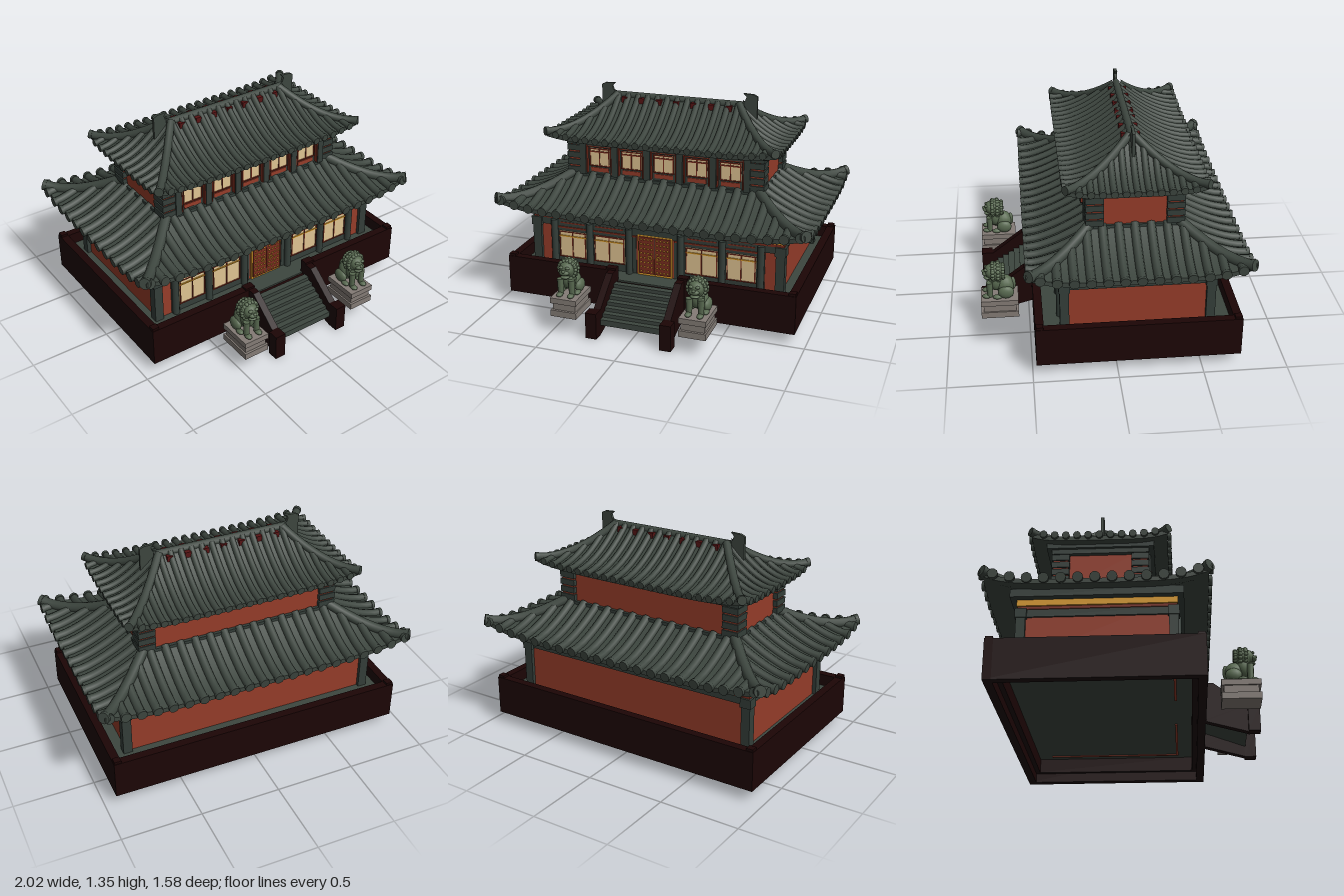
import * as THREE from 'three';
import { mergeGeometries, toCreasedNormals } from 'three/addons/utils/BufferGeometryUtils.js';

const mat = (name, color) => Object.assign(new THREE.MeshStandardMaterial({ color }), { name });
const M = {
  tile: mat('roof tile', 0x3d463f), timber: mat('dark timber', 0x343e39), maroon: mat('dark maroon', 0x1c0505),
  red: mat('wall red', 0x953c29), door: mat('door red', 0x7a2d1e), gold: mat('gold', 0xda9b2b),
  cream: mat('window cream', 0xdfc492), stone: mat('stone', 0x847c76), lion: mat('lion green', 0x586950),
  ornament: mat('ornament red', 0x561414),
};
const ZC = -0.127; // centre line of the building

function add(parent, name, geo, material) {
  const m = new THREE.Mesh(geo, material);
  m.name = name;
  parent.add(m);
  return m;
}
// box from min/max ranges
function box(parent, name, material, x0, x1, y0, y1, z0, z1) {
  const g = new THREE.BoxGeometry(x1 - x0, y1 - y0, z1 - z0);
  g.translate((x0 + x1) / 2, (y0 + y1) / 2, (z0 + z1) / 2);
  return add(parent, name, g, material);
}
// box centred on x = 0 and on the building centre line
const slab = (p, name, m, hx, y0, y1, hz) => box(p, name, m, -hx, hx, y0, y1, ZC - hz, ZC + hz);
// outline in (z, y), extruded along x
function sideProfile(points, x0, x1) {
  const s = new THREE.Shape(points.map(([z, y]) => new THREE.Vector2(z, y)));
  const g = new THREE.ExtrudeGeometry(s, { depth: x1 - x0, bevelEnabled: false });
  return g.rotateY(-Math.PI / 2).translate(x1, 0, 0);
}

// Hipped roof with concave slopes, lifted corners, tile rolls and hip ridges
function roof(name, o) {
  const g = new THREE.Group();
  g.name = name;
  const lerp = THREE.MathUtils.lerp;
  const point = (k, s, t, dy = 0) => {
    const hx = lerp(o.hx0, o.hx1, t), hz = lerp(o.hz0, o.hz1, t);
    const [along, out] = k % 2 ? [hz, hx] : [hx, hz];
    const tt = Math.min(t, 1);
    const y = o.top - (o.top - o.eave) * (1 - (1 - tt) ** o.curve) + o.lift * t ** 3 * Math.abs(s) ** 5 + dy;
    return new THREE.Vector3(s * along, y, out).applyAxisAngle(new THREE.Vector3(0, 1, 0), k * Math.PI / 2);
  };
  const rows = [0, .12, .25, .37, .5, .62, .75, .87, 1].map(t => [t, 0]);
  rows.push([1, -.028], [.8, -.03], [.4, -.045]);
  const skins = [], rolls = [];
  for (let k = 0; k < 4; k++) {
    const skin = new THREE.PlaneGeometry(1, 1, 24, rows.length - 1), p = skin.attributes.position;
    for (let i = 0; i < p.count; i++) {
      const [t, dy] = rows[Math.floor(i / 25)];
      p.setXYZ(i, ...point(k, p.getX(i) * 2, t, dy).toArray());
    }
    skins.push(skin);
    // half-round tile rolls running straight down each slope
    const [a0, a1] = k % 2 ? [o.hz0, o.hz1] : [o.hx0, o.hx1];
    const n = Math.floor((a1 - 0.02) / o.pitch);
    for (let i = -n; i <= n; i++) {
      const u = i * o.pitch, t0 = Math.max(0, (Math.abs(u) - a0) / (a1 - a0));
      if (t0 > 0.94) continue;
      const pts = [];
      for (let j = 0; j <= 6; j++) {
        const t = lerp(t0, 1.03, j / 6);
        pts.push(point(k, u / lerp(a0, a1, t), t, 0.002));
      }
      rolls.push(new THREE.TubeGeometry(new THREE.CatmullRomCurve3(pts), 8, o.r, 8));
      const dir = pts[6].clone().sub(pts[5]).normalize();
      const cap = new THREE.CylinderGeometry(o.r * 1.12, o.r * 1.12, 0.02, 10);
      cap.applyQuaternion(new THREE.Quaternion().setFromUnitVectors(new THREE.Vector3(0, 1, 0), dir));
      rolls.push(cap.translate(pts[6].x, pts[6].y, pts[6].z));
    }
    // hip ridge closed by a flat end tile
    const hip = [0, .2, .4, .6, .8, .92, 1].map(t => point(k, 1, t, 0.006));
    rolls.push(new THREE.TubeGeometry(new THREE.CatmullRomCurve3(hip), 14, o.hip, 10));
    const hipDir = hip[6].clone().sub(hip[5]).normalize();
    const end = new THREE.CylinderGeometry(o.hip * 1.1, o.hip * 1.1, 0.022, 12);
    end.applyQuaternion(new THREE.Quaternion().setFromUnitVectors(new THREE.Vector3(0, 1, 0), hipDir));
    rolls.push(end.translate(...hip[6].toArray()));
  }
  add(g, 'roofSkin', toCreasedNormals(mergeGeometries(skins), 0.7), M.tile);
  add(g, 'tileRolls', mergeGeometries(rolls), M.tile);
  return g;
}

// Lattice window on a wall facing +z
function latticeWindow(parent, x0, x1, y0, y1, z, barMat) {
  const g = new THREE.Group();
  g.name = 'window';
  parent.add(g);
  const w = x1 - x0, b = 0.006;
  box(g, 'pane', M.cream, x0, x1, y0, y1, z, z + 0.006);
  const bar = (m, ax, bx, ay, by) => box(g, 'latticeBar', m, ax, bx, ay, by, z, z + 0.012);
  for (const f of [0.03, 0.5, 0.97]) bar(M.door, x0 + w * f - b / 2, x0 + w * f + b / 2, y0, y1);
  const yb = y0 + (y1 - y0) * 0.82;
  bar(barMat, x0, x1, yb - 0.004, yb + 0.004);
  bar(M.door, x0, x1, y1 - b, y1);
  bar(M.door, x0, x1, y0, y0 + b);
}

function guardianLion() {
  const g = new THREE.Group();
  g.name = 'guardianLion';
  // plinth
  box(g, 'plinthFoot', M.stone, -.083, .083, -.12, -.08, -.115, .115);
  box(g, 'plinthBody', M.stone, -.073, .073, -.08, -.035, -.1, .1);
  box(g, 'plinthTop', M.stone, -.083, .083, -.035, 0, -.115, .115);
  const blob = (name, x, y, z, rx, ry, rz) =>
    add(g, name, new THREE.SphereGeometry(1, 14, 10).scale(rx, ry, rz).translate(x, y, z), M.lion);
  blob('rump', 0, .07, -.035, .052, .064, .058);
  blob('chest', 0, .1, .02, .047, .065, .045);
  blob('mane', 0, .165, .015, .06, .063, .056);
  blob('head', 0, .17, .045, .047, .045, .042);
  blob('muzzle', 0, .16, .08, .032, .017, .021);
  blob('jaw', 0, .128, .068, .028, .011, .024);
  blob('nose', 0, .172, .094, .012, .009, .009);
  blob('tail', 0, .075, -.085, .018, .045, .018);
  for (const s of [-1, 1]) {
    blob('haunch', s * .046, .04, -.04, .026, .042, .05);
    blob('hindPaw', s * .052, .013, .012, .019, .014, .03);
    blob('frontPaw', s * .036, .013, .077, .02, .014, .028);
    blob('brow', s * .02, .19, .076, .015, .009, .012);
    blob('ear', s * .047, .195, .035, .01, .014, .012);
    add(g, 'frontLeg', new THREE.CylinderGeometry(.021, .017, .1, 10).translate(s * .036, .06, .058), M.lion);
  }
  // mane curls around the face and down the back
  for (const [z, r] of [[.035, .054], [.003, .057], [-.026, .042]])
    for (let i = 0; i < 13; i++) {
      const a = -0.7 + i / 12 * (Math.PI + 1.4);
      blob('maneCurl', Math.cos(a) * r, .165 + Math.sin(a) * r, z, .012, .012, .013);
    }
  return g;
}

export function createModel() {
  const model = new THREE.Group();
  model.name = 'templeHall';
  const group = name => { const g = new THREE.Group(); g.name = name; model.add(g); return g; };

  // Terrace: hollow below, parapet all round with a gap at the stairs
  const terrace = group('terrace'), F = ZC + 0.605, B = ZC - 0.605;
  slab(terrace, 'floor', M.tile, 0.9, 0.225, 0.24, 0.57);
  box(terrace, 'backParapet', M.maroon, -.933, .933, .07, .315, B, B + .05);
  box(terrace, 'frontSill', M.maroon, -.2, .2, .07, .23, F - .05, F - .002);
  for (const s of [-1, 1]) {
    const span = (name, m, a, b, ...r) => box(terrace, name, m, Math.min(s * a, s * b), Math.max(s * a, s * b), ...r);
    span('sideParapet', M.maroon, .883, .933, .07, .315, B, F);
    span('frontParapet', M.maroon, .2, .933, .07, .315, F - .05, F);
    span('gatePost', M.maroon, .2, .265, .07, .328, F - .05, F - .002);
    for (const z of [B, F - .05]) span('cornerCap', M.maroon, .887, .929, .31, .33, z + .004, z + .046);
    // inner ledge carrying the floor
    span('sideLedge', M.maroon, .855, .89, .13, .23, B + .04, F - .04);
    const zl = s > 0 ? F - .08 : B + .045;
    box(terrace, 'endLedge', M.maroon, -.88, .88, .13, .23, zl, zl + .035);
    // wall footings showing under the floor
    span('frontFooting', M.red, .2, .8, .219, .23, ZC + .42, ZC + .435);
    span('sideFooting', M.red, .785, .8, .219, .23, ZC - .435, ZC + .435);
    // stair rails
    const [a, b] = s > 0 ? [.2, .245] : [-.245, -.2];
    add(terrace, 'stairRail', sideProfile([[.44, .07], [.475, .07], [.73, 0], [.79, 0], [.79, .15],
      [.72, .165], [.525, .315], [.44, .315]], a, b), M.maroon);
    span('railPost', M.maroon, .2, .27, 0, .165, .725, .795);
  }
  // stairs
  const stair = [[.47, .16], [.47, .24]];
  for (let i = 0; i < 7; i++) {
    const y = .24 - i * .023, z = .51 + i * .0365;
    stair.push([z, y], [z, y - .023]);
  }
  stair.push([.729, .065]);
  add(terrace, 'stairs', sideProfile(stair, -.2, .2), M.tile);

  // Lower storey
  const lower = group('lowerStorey'), LF = ZC + .435;
  slab(lower, 'walls', M.red, .8, .24, .6, .435);
  slab(lower, 'wallBeam', M.timber, .812, .5, .545, .445);
  slab(lower, 'redBand', M.door, .818, .545, .562, .45);
  slab(lower, 'goldBand', M.gold, .823, .565, .602, .455);
  slab(lower, 'soffit', M.timber, .865, .602, .65, .49);
  for (const s of [-1, 1]) {
    for (const z of [-1, 1]) {
      const cx = s * .797, cz = ZC + z * .43;
      box(lower, 'cornerColumn', M.timber, cx - .028, cx + .028, .24, .53, cz - .027, cz + .027);
      box(lower, 'cornerCapital', M.timber, cx - .034, cx + .034, .49, .547, cz - .033, cz + .033);
    }
    for (const x of [.677, .435, .17])
      add(lower, 'frontColumn', new THREE.CylinderGeometry(.022, .022, .3, 12).translate(s * x, .39, LF + .015), M.timber);
    const [a, b] = s > 0 ? [.125, .7] : [-.7, -.125];
    box(lower, 'windowScreen', M.timber, a, b, .24, .5, LF - .01, LF + .006);
    box(lower, 'lintel', M.door, a, b, .485, .495, LF, LF + .012);
    for (const [p, q] of [[.462, .648], [.2, .408]]) {
      const x0 = s > 0 ? p : -q, x1 = s > 0 ? q : -p;
      latticeWindow(lower, x0, x1, .29, .465, LF + .006, M.gold);
      box(lower, 'beamInlay', M.door, x0 + .01, x1 - .01, .518, .526, LF + .006, LF + .013);
    }
  }
  // double door with gold frame and studs
  const door = group('door');
  box(door, 'doorFrame', M.gold, -.112, .112, .24, .508, LF, LF + .012);
  box(door, 'doorGap', M.timber, -.004, .004, .25, .499, LF, LF + .016);
  for (const s of [-1, 1]) {
    box(door, 'doorLeaf', M.door, s * .0525 - .0505, s * .0525 + .0505, .254, .499, LF, LF + .02);
    for (let i = 0; i < 4; i++) for (let j = 0; j < 8; j++)
      add(door, 'stud', new THREE.SphereGeometry(.006, 8, 6).translate(s * (.018 + i * .023), .27 + j * .0305, LF + .021), M.gold);
    add(door, 'doorRing', new THREE.TorusGeometry(.012, .004, 6, 14).translate(s * .028, .365, LF + .024), M.gold);
  }

  // Upper storey
  const upper = group('upperStorey'), UF = ZC + .265;
  slab(upper, 'walls', M.red, .615, .74, 1.04, .265);
  slab(upper, 'wallBeam', M.timber, .644, 1, 1.04, .29);
  slab(upper, 'soffit', M.timber, .662, 1.03, 1.075, .32);
  slab(upper, 'sillBoard', M.timber, .63, .785, .812, .285);
  box(upper, 'windowScreen', M.timber, -.535, .535, .81, 1.035, UF, UF + .006);
  for (const sx of [-1, 1]) for (const sz of [-1, 1]) {
    const cx = sx * .59, cz = ZC + sz * .237;
    box(upper, 'cornerCore', M.red, cx - .044, cx + .044, .81, 1.03, cz - .044, cz + .044);
    for (let i = 0; i < 4; i++) {
      const y = .815 + i * .048;
      box(upper, 'cornerBlock', M.timber, cx - .053, cx + .053, y, y + .037, cz - .053, cz + .053);
    }
  }
  for (let i = -2; i <= 2; i++) {
    const x = i * .2145;
    latticeWindow(upper, x - .068, x + .068, .865, .982, UF + .006, M.door);
    box(upper, 'upperPanel', M.door, x - .078, x + .078, .99, .998, UF, UF + .018);
    box(upper, 'lowerPanel', M.red, x - .06, x + .06, .828, .855, UF, UF + .012);
    for (const s of [-1, 1])
      box(upper, 'panelFrame', M.door, x + s * .081 - .003, x + s * .081 + .003, .82, 1.03, UF, UF + .029);
  }
  for (let i = 0; i < 6; i++) {
    const x = (i - 2.5) * .2145;
    box(upper, 'frontColumn', M.timber, x - .02, x + .02, .81, 1.035, UF, UF + .032);
  }

  // Roofs
  const lowRoof = roof('lowerRoof', { hx0: .61, hx1: .975, hz0: .265, hz1: .628, top: .805, eave: .648, curve: 1.5, lift: .054, pitch: .095, r: .027, hip: .032 });
  const topRoof = roof('upperRoof', { hx0: .4, hx1: .728, hz0: .012, hz1: .402, top: 1.272, eave: 1.068, curve: 1.75, lift: .03, pitch: .066, r: .02, hip: .025 });
  for (const r of [lowRoof, topRoof]) { r.position.z = ZC; model.add(r); }

  // Main ridge, end fins and small red ornaments
  const ridge = group('ridge');
  add(ridge, 'ridgeRoll', new THREE.CylinderGeometry(.025, .025, .86, 12).rotateZ(Math.PI / 2).translate(0, 1.268, ZC), M.tile);
  const fin = new THREE.Shape([[.4, 1.2], [.515, 1.12], [.515, 1.33], [.49, 1.342], [.425, 1.345], [.445, 1.325], [.435, 1.297], [.4, 1.285]]
    .map(p => new THREE.Vector2(...p)));
  for (const s of [-1, 1]) {
    const g = new THREE.ExtrudeGeometry(fin, { depth: .018, bevelEnabled: false }).translate(0, 0, -.009);
    if (s < 0) g.rotateY(Math.PI);
    add(ridge, 'ridgeFin', g.translate(0, 0, ZC), M.tile);
    for (let i = -3; i <= 3; i++) {
      const x = i * .115, z = ZC + s * .042;
      box(ridge, 'ridgeOrnament', M.ornament, x - .018, x + .018, 1.215, 1.268, z - .014, z + .014);
    }
  }

  // Pair of lions beside the stairs
  for (const x of [-.413, .4]) {
    const l = guardianLion();
    l.position.set(x, .23, .68);
    model.add(l);
  }
  return model;
}
